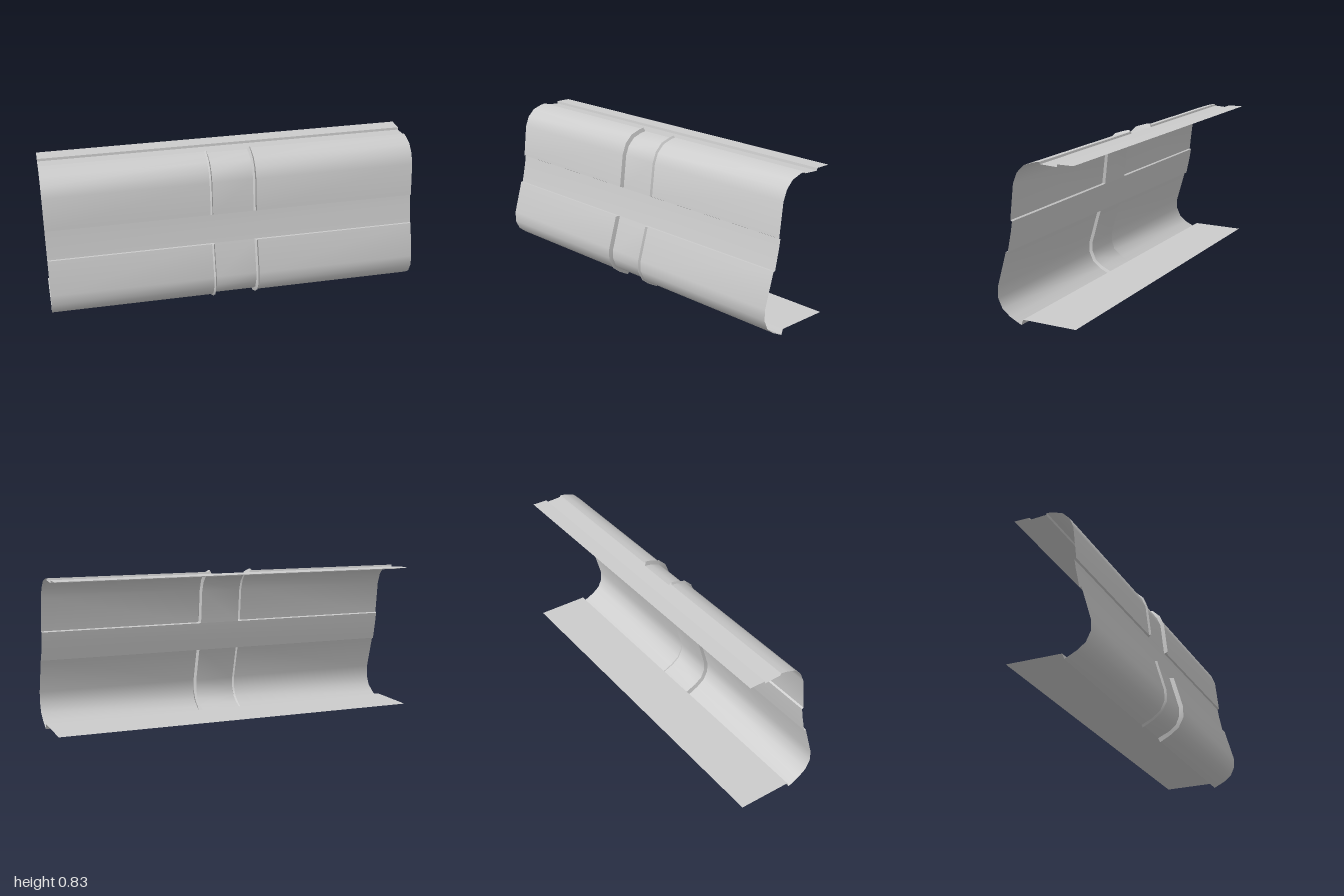
import * as THREE from 'three';
import { toCreasedNormals } from 'three/addons/utils/BufferGeometryUtils.js';

// Profiles as [z, y], running from top to bottom
const upperBase = [[-0.035, 0.81], [0, 0.805], [0.05, 0.788], [0.088, 0.75], [0.108, 0.7], [0.128, 0.52]];
const upperRim = [[-0.026, 0.83], [0, 0.825], [0.06, 0.806], [0.102, 0.765], [0.126, 0.705], [0.147, 0.53]];
const lowerBase = [[0.158, 0.365], [0.21, 0.182], [0.211, 0.13], [0.191, 0.082], [0.15, 0.05], [0.087, 0.022]];
const lowerRim = [[0.18, 0.365], [0.232, 0.186], [0.232, 0.122], [0.204, 0.068], [0.158, 0.033], [0.095, 0]];
const waist = [[0.128, 0.52], [0.137, 0.465], [0.158, 0.365]];
const topLedge = [[-0.212, 0.818], [-0.127, 0.818], [-0.125, 0.805], [-0.035, 0.81]];
const floor = [[0.087, 0.022], [0.08, 0.04], [-0.212, 0.04]];

const material = new THREE.MeshStandardMaterial({ color: 0xcccccc, side: THREE.DoubleSide });

// Open sheet lofted through columns, each { x, pts }, with x rising
function sheet(name, columns) {
  const n = columns[0].pts.length;
  const pos = [], idx = [];
  for (const { x, pts } of columns) for (const [z, y] of pts) pos.push(x, y, z - 0.01);
  for (let c = 0; c < columns.length - 1; c++) {
    for (let i = 0; i < n - 1; i++) {
      const a = c * n + i, b = a + n;
      idx.push(a, a + 1, b, b, a + 1, b + 1);
    }
  }
  const g = new THREE.BufferGeometry();
  g.setAttribute('position', new THREE.Float32BufferAttribute(pos, 3));
  g.setIndex(idx);
  const mesh = new THREE.Mesh(toCreasedNormals(g, 0.65), material);
  mesh.name = name;
  return mesh;
}

const span = (name, pts, half) => sheet(name, [{ x: -half, pts }, { x: half, pts }]);

// Blend from recessed base (0) to rim height (1), closed by a step at both ends
function raised(base, rim, t) {
  const pts = base.map(([z, y], i) => [z + (rim[i][0] - z) * t, y + (rim[i][1] - y) * t]);
  return [base[0], ...pts, base[base.length - 1]];
}

// Raised panel with a bead beside the central channel
function panel(name, base, rim, side) {
  const stations = [[0.11, 0], [0.118, 1], [0.126, 0.5], [1, 0.5]];
  const columns = stations.map(([x, t]) => ({ x: side * x, pts: raised(base, rim, t) }));
  if (side < 0) columns.reverse();
  return sheet(name, columns);
}

export function createModel() {
  const group = new THREE.Group();
  group.name = 'pressedPanel';

  // Recessed cross: horizontal waist and vertical channel
  group.add(span('waistBand', waist, 1));
  group.add(span('upperChannel', upperBase, 0.11));
  group.add(span('lowerChannel', lowerBase, 0.11));

  // Rear flanges
  group.add(span('topLedge', topLedge, 1));
  group.add(span('bottomFlange', floor, 1));

  // Four raised panels
  for (const side of [-1, 1]) {
    const label = side > 0 ? 'Left' : 'Right';
    group.add(panel('upperPanel' + label, upperBase, upperRim, side));
    group.add(panel('lowerPanel' + label, lowerBase, lowerRim, side));
  }
  return group;
}
